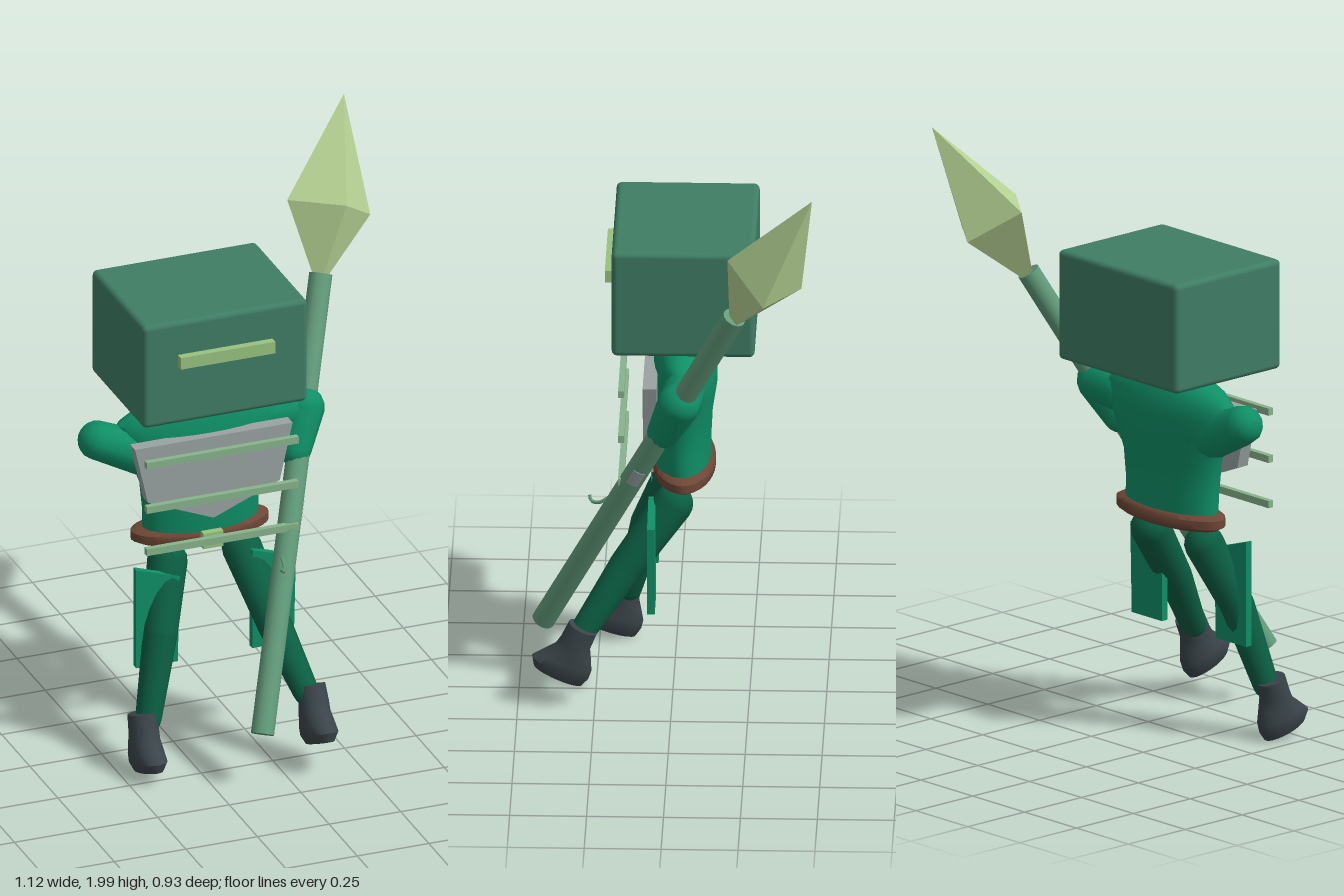
import * as THREE from 'three';
import { toCreasedNormals } from 'three/addons/utils/BufferGeometryUtils.js';
import { RoundedBoxGeometry } from 'three/addons/geometries/RoundedBoxGeometry.js';

const V = (x, y, z) => new THREE.Vector3(x, y, z);
const UP = V(0, 1, 0);

function makeMaterial(name, color, flatShading = false) {
  const m = new THREE.MeshStandardMaterial({ color, flatShading });
  m.name = name;
  return m;
}

// Elliptical cross-sections [y, rx, rz, zOffset], closed at both ends
function loft(sections, sides = 24) {
  const first = sections[0], last = sections[sections.length - 1];
  const rows = [[first[0], 0, 0, first[3]], ...sections, [last[0], 0, 0, last[3]]];
  const pos = [], idx = [], n = sides;
  rows.forEach(([y, rx, rz, cz], r) => {
    for (let i = 0; i < n; i++) {
      const a = (i / n) * Math.PI * 2;
      pos.push(Math.sin(a) * rx, y, cz + Math.cos(a) * rz);
      if (r === rows.length - 1) continue;
      const p = r * n + i, q = r * n + ((i + 1) % n);
      if (r > 0) idx.push(p, q, p + n);
      if (r < rows.length - 2) idx.push(q, q + n, p + n);
    }
  });
  const g = new THREE.BufferGeometry();
  g.setAttribute('position', new THREE.Float32BufferAttribute(pos, 3));
  g.setIndex(idx);
  return toCreasedNormals(g, 0.9);
}

export function createModel() {
  const model = new THREE.Group();
  const green = makeMaterial('armour green', 0x0f8f66);
  const darkGreen = makeMaterial('trouser green', 0x0b5f43);
  const helmet = makeMaterial('helmet green', 0x3f7d65);
  const pale = makeMaterial('pale green', 0x98c27f);
  const trim = makeMaterial('trim green', 0x88b48c);
  const shaftGreen = makeMaterial('shaft green', 0x629b7b);
  const blade = makeMaterial('blade green', 0xb6d394, true);
  const grey = makeMaterial('plate grey', 0x99a3a2);
  const brown = makeMaterial('belt brown', 0x6e4636);
  const boot = makeMaterial('boot grey', 0x3a4449);

  function add(name, geo, mat, x = 0, y = 0, z = 0) {
    const m = new THREE.Mesh(geo, mat);
    m.name = name;
    m.position.set(x, y, z);
    model.add(m);
    return m;
  }
  const box = (name, mat, w, h, d, x, y, z) =>
    add(name, new THREE.BoxGeometry(w, h, d), mat, x, y, z);

  // Tapered, round-ended limb from a to b
  function limb(name, mat, a, b, r0, r1, sides = 16) {
    const dir = b.clone().sub(a), len = dir.length(), pts = [];
    for (let i = 0; i <= 4; i++) {
      const t = (i / 4) * Math.PI / 2;
      pts.push(new THREE.Vector2(Math.sin(t) * r0, -Math.cos(t) * r0));
    }
    for (let i = 0; i <= 4; i++) {
      const t = (i / 4) * Math.PI / 2;
      pts.push(new THREE.Vector2(Math.cos(t) * r1, len + Math.sin(t) * r1));
    }
    const m = add(name, new THREE.LatheGeometry(pts, sides), mat, a.x, a.y, a.z);
    m.quaternion.setFromUnitVectors(UP, dir.normalize());
  }

  // Flat plate from an outline
  function plate(name, mat, outline, depth, z) {
    const shape = new THREE.Shape(outline.map(([x, y]) => new THREE.Vector2(x, y)));
    add(name, new THREE.ExtrudeGeometry(shape, { depth, bevelEnabled: false }), mat, 0, 0, z);
  }

  // Box helmet with eye slit
  add('helmet', new RoundedBoxGeometry(0.575, 0.37, 0.465, 3, 0.018), helmet, -0.143, 1.445, -0.037);
  box('eyeSlit', pale, 0.33, 0.042, 0.03, -0.145, 1.49, 0.206);

  // Torso, belt and buckle
  add('torso', loft([
    [0.75, 0.2, 0.09, -0.03], [0.85, 0.2, 0.095, -0.025], [0.95, 0.21, 0.1, -0.025],
    [1.05, 0.245, 0.105, -0.035], [1.12, 0.28, 0.105, -0.035], [1.17, 0.285, 0.095, -0.035],
    [1.2, 0.245, 0.085, -0.03], [1.235, 0.15, 0.07, -0.025], [1.265, 0.09, 0.06, -0.02],
  ], 32), green, -0.145);
  add('belt', loft([
    [0.738, 0.215, 0.088, 0], [0.75, 0.238, 0.102, 0], [0.778, 0.238, 0.102, 0], [0.79, 0.215, 0.088, 0],
  ], 32), brown, -0.145, 0, -0.033);
  box('buckle', pale, 0.07, 0.055, 0.025, -0.145, 0.763, 0.08);

  // Chest plate with three trim bars in front
  plate('chestPlate', grey,
    [[-0.42, 1.14], [-0.375, 0.94], [-0.145, 0.845], [0.085, 0.94], [0.13, 1.14]], 0.045, 0.05);
  for (const y of [1.115, 0.955, 0.802]) box('trimBar', trim, 0.53, 0.024, 0.02, -0.145, y, 0.165);

  // Arms
  limb('rightArm', green, V(-0.35, 1.06, -0.03), V(-0.498, 1.128, -0.038), 0.075, 0.066, 12);
  limb('leftShoulder', green, V(0.08, 1.12, -0.04), V(0.21, 1.125, -0.03), 0.07, 0.068, 12);
  limb('leftForearm', green, V(0.212, 1.125, -0.025), V(0.165, 1.005, 0.025), 0.072, 0.055, 12);

  // Legs, thigh plates and boots
  const bootGeo = loft([
    [0, 0.04, 0.085, 0.05], [0.03, 0.056, 0.1, 0.055], [0.06, 0.055, 0.088, 0.045],
    [0.1, 0.051, 0.063, 0.04], [0.13, 0.05, 0.052, 0.045], [0.19, 0.047, 0.05, 0.045],
  ]);
  const legs = [
    { side: 'right', hip: V(-0.27, 0.67, 0), knee: V(-0.33, 0.46, 0.09), ankle: V(-0.397, 0.19, 0.155),
      foot: V(-0.42, 0.02, 0.168), tilt: 0.3, plateX: -0.41 },
    { side: 'left', hip: V(-0.01, 0.67, 0), knee: V(0.04, 0.46, 0.155), ankle: V(0.1, 0.26, 0.29),
      foot: V(0.118, 0.09, 0.325), tilt: 0.42, plateX: -0.005 },
  ];
  for (const { side, hip, knee, ankle, foot, tilt, plateX: x } of legs) {
    limb(side + 'Thigh', darkGreen, hip, knee, 0.066, 0.057);
    limb(side + 'Shin', darkGreen, knee, ankle, 0.057, 0.043);
    add(side + 'Boot', bootGeo, boot, foot.x, foot.y, foot.z).rotation.x = -tilt;
    plate(side + 'ThighPlate', green,
      [[x, 0.695], [x, 0.34], [x + 0.145, 0.34], [x + 0.152, 0.645]], 0.025, 0.055);
  }

  // Spear shaft with a small wrap and hook
  const low = V(-0.105, 0.205, 0.425), high = V(0.348, 1.5, -0.21);
  const axis = high.clone().sub(low), length = axis.length();
  axis.normalize();
  function onShaft(name, geo, mat, t) {
    const p = low.clone().addScaledVector(axis, length * t);
    const m = add(name, geo, mat, p.x, p.y, p.z);
    m.quaternion.setFromUnitVectors(UP, axis);
  }
  onShaft('spearShaft', new THREE.CylinderGeometry(0.038, 0.038, length, 16), shaftGreen, 0.5);
  onShaft('shaftWrap', new THREE.CylinderGeometry(0.04, 0.04, 0.06, 8, 1, false, 1, 1.1), grey, 0.49);
  const hook = new THREE.CatmullRomCurve3(
    [V(0.05, 0.72, 0.2), V(0.045, 0.695, 0.24), V(0.03, 0.695, 0.265), V(0.02, 0.71, 0.27)]);
  add('shaftHook', new THREE.TubeGeometry(hook, 8, 0.006, 6), shaftGreen);

  // Faceted spearhead: a ring of four corners between tip and base
  const tip = V(0.53, 2, -0.468), base = V(0.333, 1.45, -0.195);
  const ring = [V(0.27, 1.735, -0.31), V(0.43, 1.74, -0.19), V(0.56, 1.63, -0.31), V(0.4, 1.63, -0.43)];
  const faces = [];
  ring.forEach((p, i) => {
    const q = ring[(i + 1) % 4];
    faces.push(tip, p, q, base, q, p);
  });
  const headGeo = new THREE.BufferGeometry().setFromPoints(faces);
  headGeo.computeVertexNormals();
  add('spearhead', headGeo, blade);

  return model;
}
